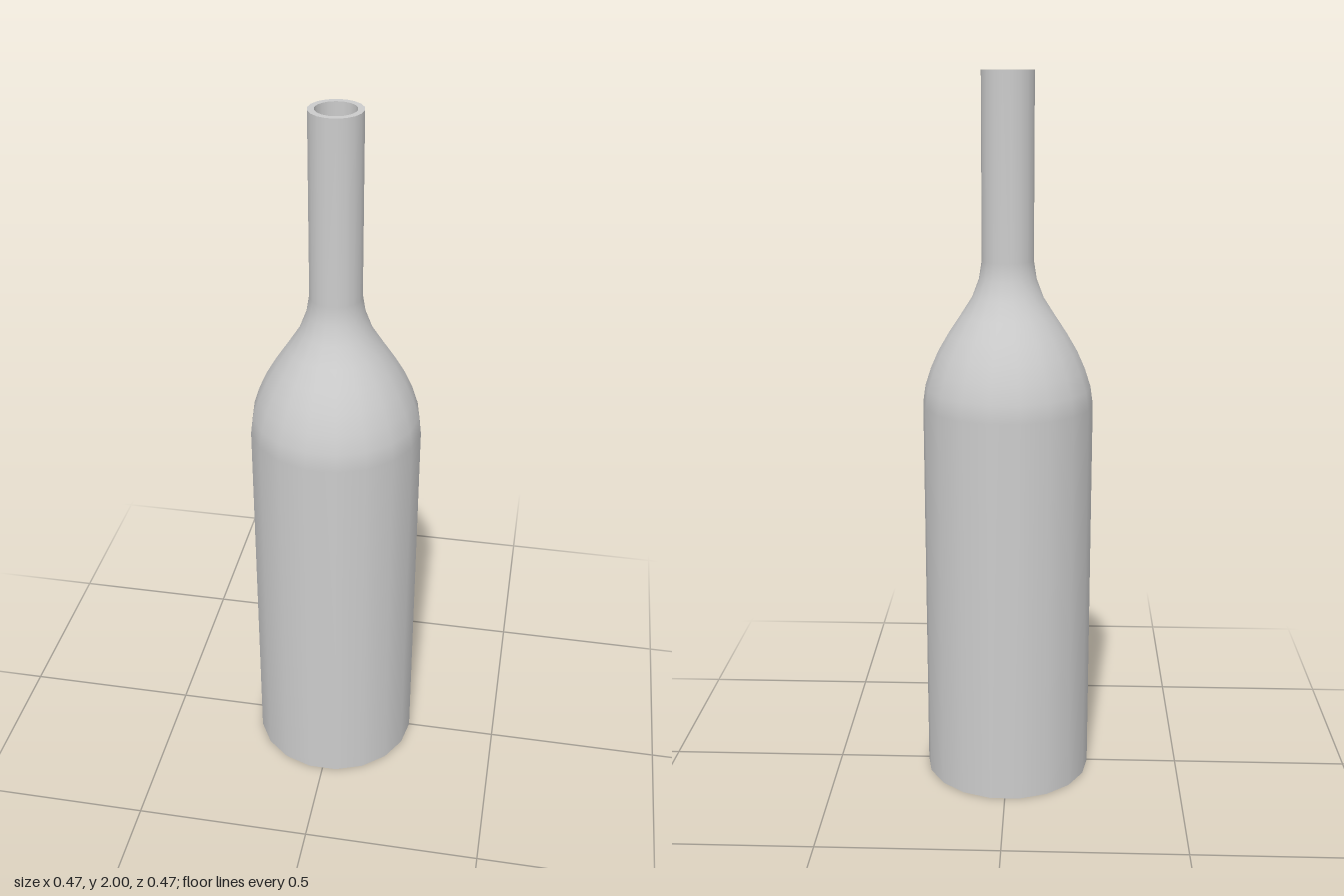
import * as THREE from 'three';

const SIDES = 18;

export function createModel() {
  const model = new THREE.Group();
  model.name = 'bottle';
  const material = new THREE.MeshStandardMaterial({ color: 0xcccccc });

  // Revolves [radius, height] pairs, with a corner on the x axis
  const revolve = (name, profile) => {
    const points = profile.map(([r, y]) => new THREE.Vector2(r, y));
    const mesh = new THREE.Mesh(new THREE.LatheGeometry(points, SIDES, Math.PI / 2), material);
    mesh.name = name;
    model.add(mesh);
  };

  // Shoulder curve between the straight body and the straight neck
  const shoulder = [
    [0.237, 1.1], [0.23, 1.15], [0.214, 1.2], [0.192, 1.25], [0.163, 1.3],
    [0.13, 1.35], [0.098, 1.4], [0.079, 1.45], [0.071, 1.5],
  ];
  const outer = [[0.237, 0], ...shoulder, [0.071, 2]];

  // Inner wall follows the outer one at a constant thickness, facing inwards
  const wall = 0.017;
  const inner = outer.map(([r, y]) => [r - wall, Math.max(y, wall)]).reverse();

  revolve('outerWall', outer);
  revolve('mouthRim', [[0.071, 2], [0.071 - wall, 2]]);
  revolve('innerWall', inner);
  revolve('innerFloor', [[0.237 - wall, wall], [0, wall]]);
  revolve('base', [[0, 0], [0.237, 0]]);

  return model;
}
